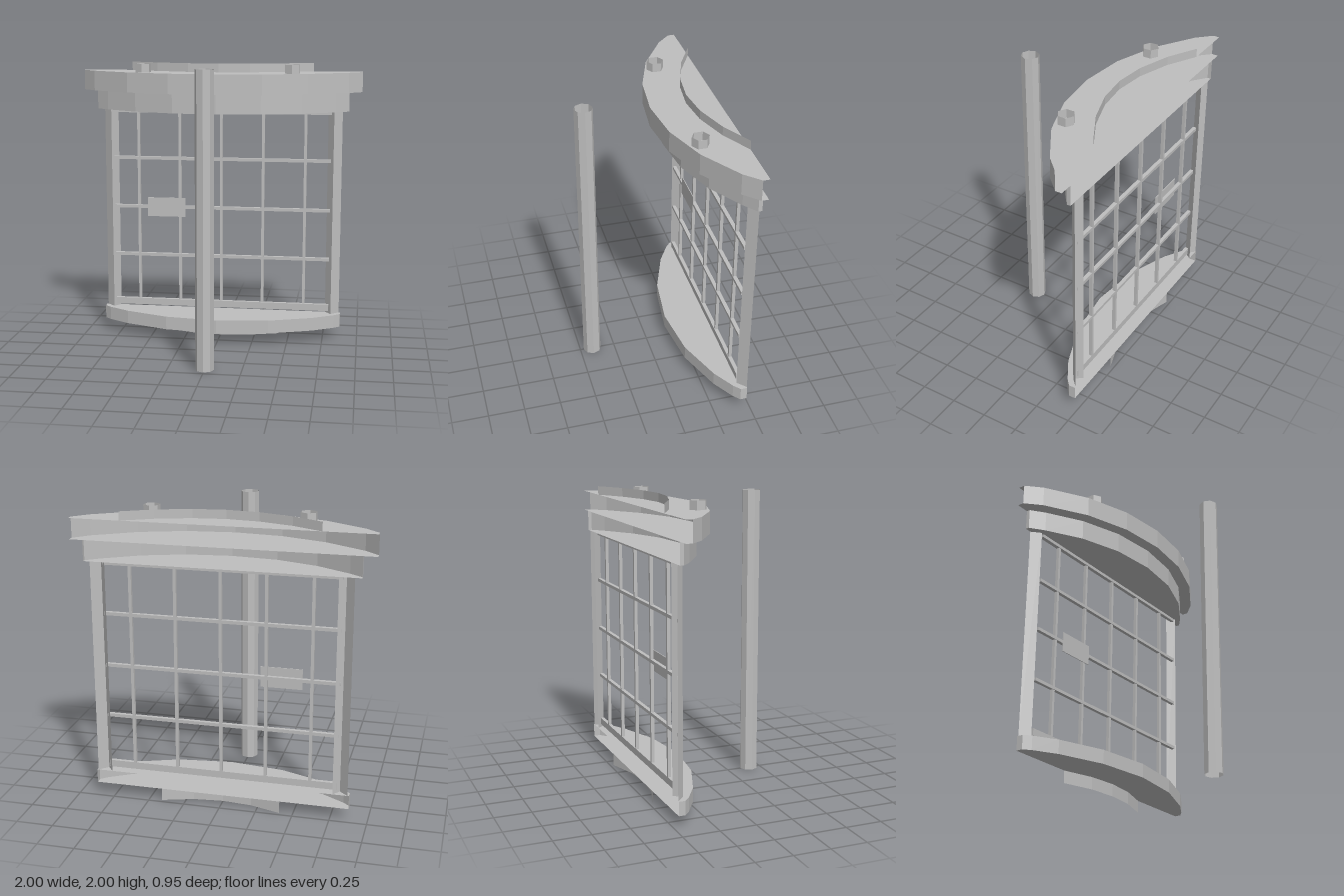
import * as THREE from 'three';

const BACK = -0.475;

export function createModel() {
  const group = new THREE.Group();
  const grey = new THREE.MeshStandardMaterial({ color: 0xbebebe, side: THREE.DoubleSide });
  grey.name = 'grey';
  grey.flatShading = true;

  const add = (name, geometry, x = 0, y = 0, z = 0) => {
    const mesh = new THREE.Mesh(geometry, grey);
    mesh.name = name;
    mesh.position.set(x, y, z);
    group.add(mesh);
    return mesh;
  };

  // mirror a half outline (centre to right end) into a full left-to-right one
  const mirrored = half => [...half.slice(1).reverse().map(([x, z]) => [-x, z]), ...half];

  // upright open wall following an outline of [x, z] points
  const wall = (name, pts, y0, y1, x = 0) => {
    const pos = [];
    for (let i = 0; i < pts.length - 1; i++) {
      const [ax, az] = pts[i], [bx, bz] = pts[i + 1];
      pos.push(ax, y0, az, bx, y0, bz, bx, y1, bz, ax, y0, az, bx, y1, bz, ax, y1, az);
    }
    const g = new THREE.BufferGeometry();
    g.setAttribute('position', new THREE.Float32BufferAttribute(pos, 3));
    g.computeVertexNormals();
    return add(name, g, x);
  };

  // horizontal sheet bounded by an outline and the straight back line
  const sheet = (name, pts, y, up) => {
    const [first, last] = [pts[0][0], pts[pts.length - 1][0]];
    const outline = [[first, BACK], ...pts, [last, BACK]];
    const shape = new THREE.Shape(outline.map(([x, z]) => new THREE.Vector2(x, up ? -z : z)));
    const g = new THREE.ShapeGeometry(shape);
    g.rotateX(up ? -Math.PI / 2 : Math.PI / 2);
    add(name, g, 0, y);
  };

  // cornice, frieze and base: bowed shells open at the back
  const cornice = mirrored([[0, -0.025], [0.325, -0.06], [0.63, -0.165], [0.905, -0.335], [1, -0.43]]);
  wall('corniceFront', cornice, 1.8, 1.94);
  sheet('corniceTop', cornice, 1.94, true);
  sheet('corniceBottom', cornice, 1.8, false);

  const frieze = mirrored([[0, -0.11], [0.31, -0.143], [0.59, -0.24], [0.82, -0.38], [0.91, -0.45], [0.91, BACK]]);
  wall('friezeFront', frieze, 1.66, 1.8);
  sheet('friezeBottom', frieze, 1.66, false);

  const base = mirrored([[0, -0.14], [0.37, -0.185], [0.68, -0.3], [0.83, -0.39], [0.875, -0.43], [0.875, BACK]]);
  wall('baseFront', base, 0.085, 0.18);
  sheet('baseTop', base, 0.18, true);
  sheet('baseBottom', base, 0.085, false);

  // curved foot and crest strips
  wall('foot', mirrored([[0, -0.39], [0.2, -0.41], [0.41, BACK]]), 0, 0.085);
  wall('crest', mirrored([[0, -0.265], [0.22, -0.29], [0.45, -0.365], [0.655, BACK]]), 1.94, 2);

  // V-section corner posts, open behind
  for (const s of [-1, 1]) {
    const pts = [[s * 0.765, BACK], [s * 0.807, -0.42], [s * 0.865, BACK]];
    wall('cornerPost', s > 0 ? pts : pts.reverse(), 0.18, 1.66);
  }

  // lattice
  const rails = [[0.225, 0.048], [0.585, 0.022], [0.945, 0.022], [1.305, 0.022], [1.648, 0.022]];
  for (const [y, h] of rails) add('latticeRail', new THREE.BoxGeometry(1.58, h, 0.026), 0, y, -0.434);
  for (const x of [-0.607, -0.304, 0, 0.304, 0.607])
    add('latticeBar', new THREE.BoxGeometry(0.02, 1.42, 0.022), x, 0.94, -0.436);

  // small plate on the lattice
  add('plate', new THREE.BoxGeometry(0.278, 0.14, 0.005), -0.403, 0.945, -0.42);

  // hexagonal sockets on the cornice and the front column, both open tubes
  for (const s of [-1, 1])
    add('socket', new THREE.CylinderGeometry(0.057, 0.057, 0.06, 6, 1, true), s * 0.522, 1.97, -0.2);
  add('column', new THREE.CylinderGeometry(0.0625, 0.0625, 2, 8, 1, true), 0, 1, 0.4125);

  return group;
}
